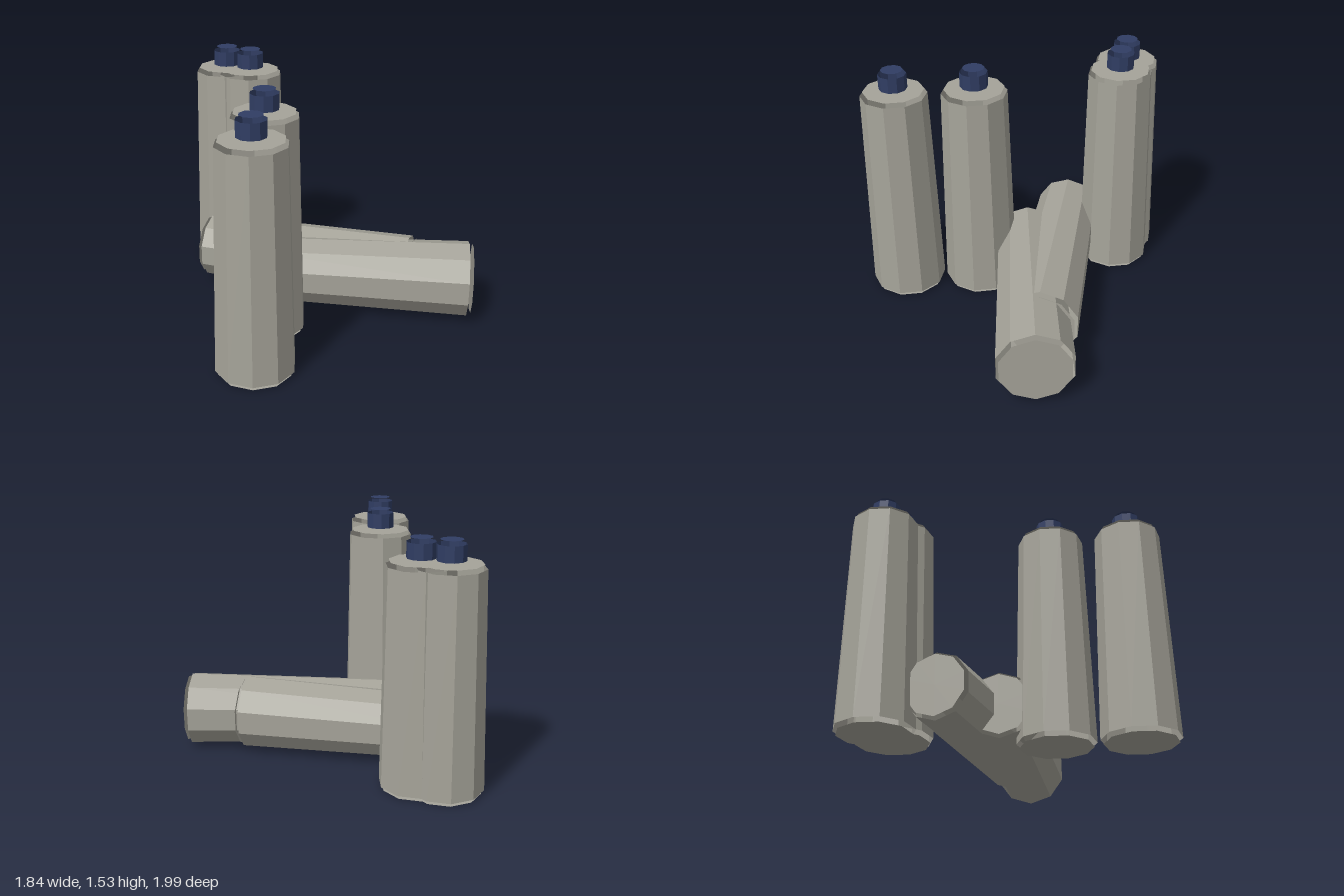
import * as THREE from 'three';

const SIDES = 10;
const GAP = 0.025; // space between each wall and its end plate

const grey = new THREE.MeshStandardMaterial({ color: 0xa5a399, flatShading: true, side: THREE.DoubleSide });
grey.name = 'warm grey';
const navy = new THREE.MeshStandardMaterial({ color: 0x303d63, flatShading: true, side: THREE.DoubleSide });
navy.name = 'navy';

function add(group, name, geometry, material, y) {
  const mesh = new THREE.Mesh(geometry, material);
  mesh.name = name;
  mesh.position.y = y;
  group.add(mesh);
}

// Open tapered wall from y0 to y1
function wall(group, name, rBottom, rTop, y0, y1, material) {
  const geo = new THREE.CylinderGeometry(rTop, rBottom, y1 - y0, SIDES, 1, true);
  add(group, name, geo, material, (y0 + y1) / 2);
}

// Thin end plate facing up or down
function plate(group, name, r, y, up, material) {
  const geo = new THREE.CircleGeometry(r, SIDES, Math.PI / 2);
  geo.rotateX(up ? -Math.PI / 2 : Math.PI / 2);
  add(group, name, geo, material, y);
}

// Tapered container with its base at the local origin
function container(name, capped) {
  const g = new THREE.Group();
  g.name = name;
  wall(g, 'body', 0.237, 0.205, GAP, 1.37, grey);
  plate(g, 'base', 0.22, 0, false, grey);
  plate(g, 'shoulder', 0.188, 1.37 + GAP, true, grey);
  if (capped) {
    wall(g, 'capWall', 0.087, 0.087, 1.41, 1.505, navy);
    plate(g, 'capTop', 0.068, 1.505 + GAP, true, navy);
  }
  return g;
}

export function createModel() {
  const model = new THREE.Group();
  model.name = 'containers';

  // Standing containers with caps
  [[-0.69, 0.61], [-0.37, 0.24], [0.065, -0.61], [-0.02, -0.765]].forEach(([x, z], i) => {
    const c = container('standingContainer' + (i + 1), true);
    c.position.set(x, 0, z);
    model.add(c);
  });

  // Lying containers: base centre x, z and direction toward the top
  [[0.762, 0.82, -0.747, -0.665], [0.509, 0.538, -0.606, -0.795]].forEach(([x, z, dx, dz], i) => {
    const c = container('lyingContainer' + (i + 1), false);
    const axis = new THREE.Vector3(dx, 0, dz).normalize();
    const up = new THREE.Vector3(0, 1, 0);
    const side = new THREE.Vector3().crossVectors(axis, up);
    c.quaternion.setFromRotationMatrix(new THREE.Matrix4().makeBasis(side, axis, up));
    c.position.set(x, 0.244, z).addScaledVector(axis, -GAP);
    model.add(c);
  });

  return model;
}
